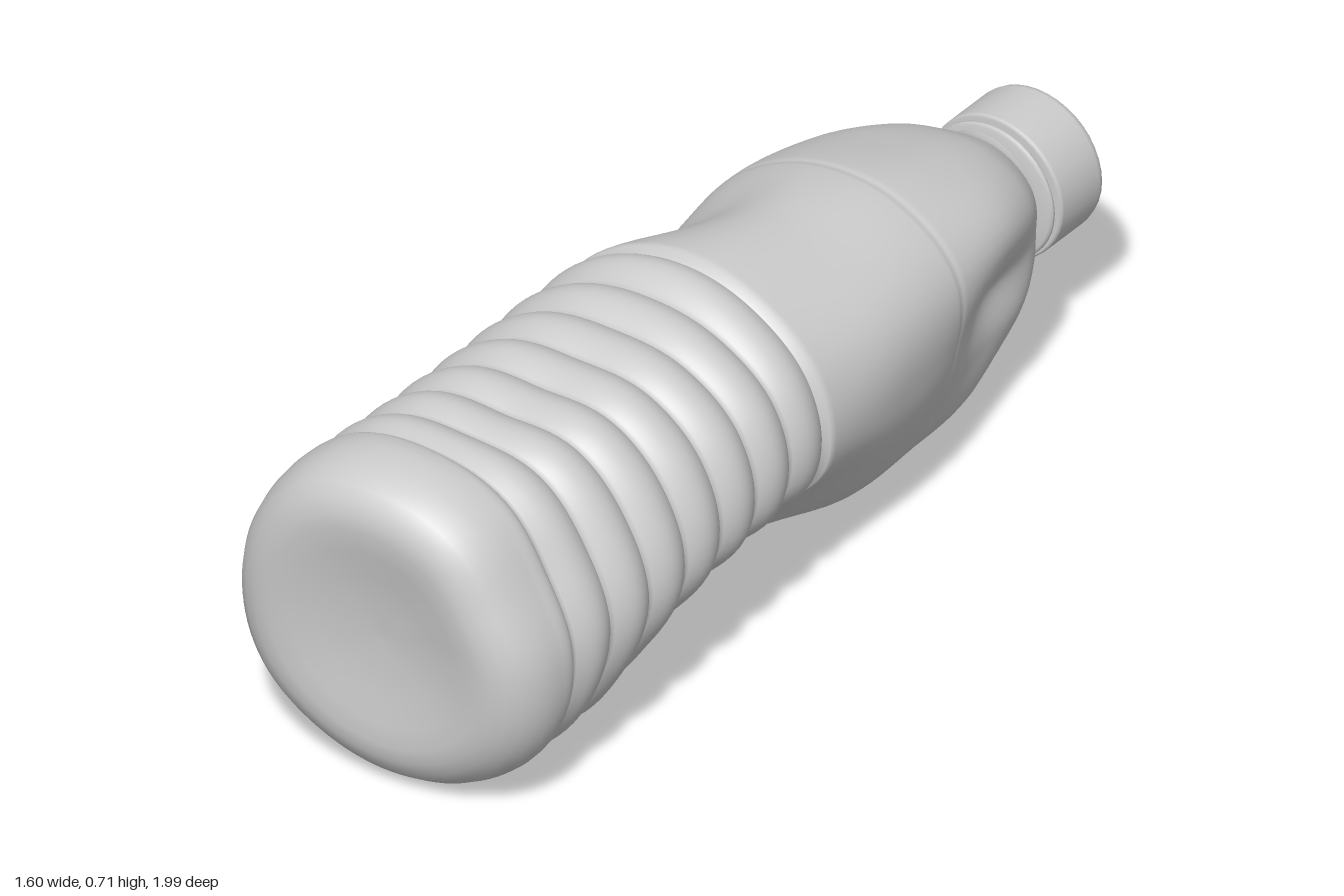
import * as THREE from 'three';

const material = new THREE.MeshStandardMaterial({ color: 0xcccccc, side: THREE.DoubleSide });

// Crushed cross-sections along the axis: s, then radii every 30 degrees from the
// bottle's left side over the top
const SECTIONS = [
  [-0.88, [0.335, 0.315, 0.345, 0.36, 0.375, 0.367, 0.363, 0.365, 0.35, 0.346, 0.35, 0.355]],
  [-0.6, [0.355, 0.345, 0.345, 0.318, 0.352, 0.36, 0.352, 0.36, 0.358, 0.34, 0.345, 0.335]],
  [-0.3, [0.345, 0.36, 0.345, 0.322, 0.347, 0.36, 0.355, 0.36, 0.348, 0.302, 0.268, 0.275]],
  [-0.12, [0.335, 0.36, 0.345, 0.336, 0.35, 0.36, 0.36, 0.36, 0.35, 0.308, 0.248, 0.256]],
  [0.01, [0.328, 0.352, 0.347, 0.348, 0.35, 0.35, 0.345, 0.35, 0.352, 0.325, 0.25, 0.258]],
  [0.25, [0.325, 0.36, 0.34, 0.325, 0.287, 0.292, 0.333, 0.345, 0.348, 0.336, 0.325, 0.305]],
  [0.47, [0.297, 0.346, 0.335, 0.312, 0.302, 0.312, 0.321, 0.345, 0.345, 0.316, 0.328, 0.29]],
  [0.66, [0.22, 0.322, 0.3, 0.268, 0.272, 0.283, 0.29, 0.31, 0.31, 0.3, 0.318, 0.25]],
  [0.8, [0.205, 0.267, 0.25, 0.222, 0.222, 0.235, 0.245, 0.255, 0.265, 0.26, 0.26, 0.235]],
  [0.89, [0.178, 0.197, 0.187, 0.167, 0.17, 0.185, 0.19, 0.2, 0.205, 0.2, 0.2, 0.19]],
  [0.94, new Array(12).fill(0.132)],
  [1.0, new Array(12).fill(0.118)],
];
const AXIS_X = 0.04, AXIS_Y = 0.35, RIB = 0.118;

// Cubic between p1 and p2, with given end slopes
const hermite = (p1, p2, m1, m2, f) =>
  (2 * f ** 3 - 3 * f * f + 1) * p1 + (f ** 3 - 2 * f * f + f) * m1 +
  (3 * f * f - 2 * f ** 3) * p2 + (f ** 3 - f * f) * m2;

// Radius of one section at angle a, closed around the loop
function sectionRadius(index, a) {
  const r = SECTIONS[index][1], u = a / (Math.PI / 6), i = Math.floor(u);
  const at = (k) => r[(i + k + 12) % 12];
  return hermite(at(0), at(1), (at(1) - at(-1)) / 2, (at(2) - at(0)) / 2, u - i);
}

function wallRadius(s, a) {
  const last = SECTIONS.length - 1;
  let i = 0;
  while (i < last - 1 && s > SECTIONS[i + 1][0]) i++;
  const at = (k) => Math.min(Math.max(i + k, 0), last);
  const [s0, s1, s2, s3] = [-1, 0, 1, 2].map((k) => SECTIONS[at(k)][0]);
  const [r0, r1, r2, r3] = [-1, 0, 1, 2].map((k) => sectionRadius(at(k), a));
  const h = s2 - s1, f = THREE.MathUtils.clamp((s - s1) / h, 0, 1);
  return hermite(r1, r2, h * (r2 - r0) / (s2 - s0), h * (r3 - r1) / (s3 - s1), f);
}

// Inward offset of the rib grooves and the two seam lines
function groove(s) {
  let d = 0;
  if (s > -0.87 && s < 0.01) {
    const wave = Math.abs(Math.sin(Math.PI * (s - 0.01) / RIB));
    const fade = THREE.MathUtils.smoothstep(s, -0.87, -0.78);
    d += 0.027 * (1 - Math.pow(wave, 0.8)) * (0.35 + 0.65 * fade);
    if (s < -0.816) d *= (s + 0.87) / 0.054;
  }
  for (const seam of [0.01, 0.47]) d += 0.004 * Math.exp(-(((s - seam) / 0.005) ** 2));
  return d;
}

function bodyPoint(s, a, scale) {
  const r = (wallRadius(s, a) - groove(s)) * scale;
  const x = AXIS_X + r * Math.cos(a), y = AXIS_Y + r * Math.sin(a);
  // The base sits slightly askew
  const skew = 1 - THREE.MathUtils.smoothstep(s, -1, -0.84);
  return [x, y, -s - skew * (0.04 * x + 0.05 * (0.4 - y))];
}

function bodyGeometry() {
  // Shallow base and rounded rim, then the wall up to the neck
  const rows = [[-0.994, 0.001], [-0.996, 0.2], [-1.003, 0.4], [-1.013, 0.55], [-1.018, 0.68],
    [-1.015, 0.77], [-1.003, 0.85], [-0.984, 0.915], [-0.957, 0.962], [-0.925, 0.99], [-0.895, 1]];
  for (let s = -0.875; s < 1.0; s += RIB / 16) rows.push([s, 1]);
  const N = 96, pos = [], index = [];
  rows.forEach(([s, k], i) => {
    for (let j = 0; j < N; j++) {
      pos.push(...bodyPoint(s, (j / N) * Math.PI * 2, k));
      if (i === rows.length - 1) continue;
      const p = i * N + j, n = i * N + ((j + 1) % N);
      index.push(p, p + N, n, n, p + N, n + N);
    }
  });
  const geo = new THREE.BufferGeometry();
  geo.setAttribute('position', new THREE.Float32BufferAttribute(pos, 3));
  geo.setIndex(index);
  geo.computeVertexNormals();
  return geo;
}

// Turned part along the bottle axis; points are [radius, s]
function turned(name, points, sides) {
  const geo = new THREE.LatheGeometry(points.map(([r, s]) => new THREE.Vector2(r, s)), sides);
  geo.rotateX(-Math.PI / 2);
  const mesh = new THREE.Mesh(geo, material);
  mesh.name = name;
  mesh.position.set(0.051, 0.345, 0);
  return mesh;
}

export function createModel() {
  const bottle = new THREE.Group();
  bottle.name = 'crushedBottle';

  const body = new THREE.Mesh(bodyGeometry(), material);
  body.name = 'body';
  bottle.add(body);

  bottle.add(turned('neckRing', [[0.11, 0.966], [0.142, 0.969], [0.147, 0.974], [0.147, 0.98],
    [0.142, 0.985], [0.11, 0.987]], 40));
  bottle.add(turned('cap', [[0.1, 0.989], [0.15, 0.989], [0.155, 0.993], [0.155, 1.0], [0.155, 1.115],
    [0.152, 1.127], [0.144, 1.135], [0.132, 1.138], [0.12, 1.138], [0, 1.138]], 40));

  // Lies at an angle on the ground
  bottle.rotation.y = -0.594;
  const group = new THREE.Group();
  group.name = 'model';
  group.add(bottle);
  return group;
}
